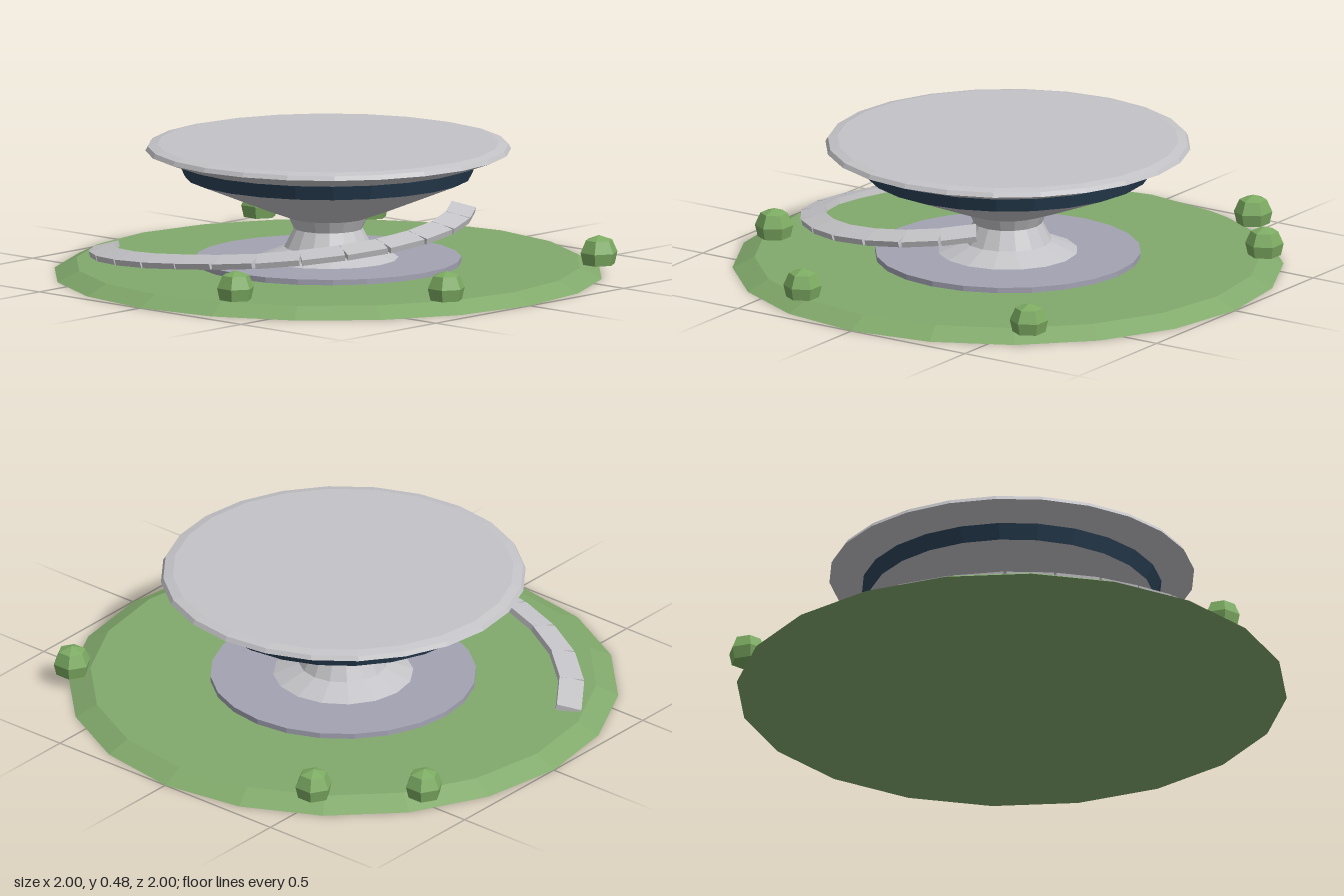
import * as THREE from 'three';

const mat = (name, color) => {
  const m = new THREE.MeshStandardMaterial({ color, flatShading: true });
  m.name = name;
  return m;
};

export function createModel() {
  const model = new THREE.Group();
  model.name = 'pavilion';
  const grass = mat('grass green', 0x82aa6c);
  const leaf = mat('leaf green', 0x7cab62);
  const paving = mat('paving grey', 0xa2a2b2);
  const concrete = mat('pale concrete', 0xc4c4c8);
  const glass = mat('dark blue glass', 0x2c445a);

  // Adds a faceted solid of revolution; points are [radius, y] from bottom to top
  const turn = (name, points, sides, material, parent = model) => {
    const profile = points.map(([r, y]) => new THREE.Vector2(r, y));
    const mesh = new THREE.Mesh(new THREE.LatheGeometry(profile, sides), material);
    mesh.name = name;
    parent.add(mesh);
    return mesh;
  };

  // Ground and paving
  turn('ground', [[0, 0], [1, 0], [0.92, 0.04], [0, 0.04]], 20, grass);
  turn('plaza', [[0, 0.03], [0.483, 0.03], [0.483, 0.06], [0, 0.06]], 24, paving);

  // Building, stacked from foot to roof
  turn('pedestal', [[0.255, 0.06], [0.16, 0.1], [0.125, 0.168], [0.145, 0.212]], 16, concrete);
  turn('bowl', [[0, 0.21], [0.145, 0.21], [0.25, 0.25], [0.52, 0.36], [0, 0.36]], 24, concrete);
  turn('windowBand', [[0.52, 0.36], [0.545, 0.415]], 24, glass);
  turn('roof', [[0, 0.415], [0.55, 0.415], [0.664, 0.456], [0.655, 0.472], [0.62, 0.48], [0, 0.48]], 24, concrete);

  // Rising spiral ramp: straight slabs, banked outwards; [angle in degrees, radius]
  const ramp = new THREE.Group();
  ramp.name = 'ramp';
  model.add(ramp);
  const track = [[158, 0.86], [145, 0.83], [119, 0.77], [95, 0.725], [65, 0.72], [29, 0.665], [7, 0.615], [-22, 0.525]];
  const radiusAt = (deg) => {
    const i = Math.min(track.length - 2, track.findLastIndex(([a]) => a >= deg));
    const [a0, r0] = track[i], [a1, r1] = track[i + 1];
    return THREE.MathUtils.lerp(r0, r1, (deg - a0) / (a1 - a0));
  };
  const slabs = 14;
  const rampPoint = (t) => {
    const deg = 158 - 180 * t, a = THREE.MathUtils.degToRad(deg), r = radiusAt(deg);
    return new THREE.Vector3(r * Math.cos(a), 0.046 + 0.232 * t, r * Math.sin(a));
  };
  for (let i = 0; i < slabs; i++) {
    const start = rampPoint(i / slabs), end = rampPoint((i + 1) / slabs);
    const along = end.clone().sub(start);
    const length = along.length();
    along.normalize();
    const out = new THREE.Vector3(-along.z, 0, along.x).normalize();
    const middle = start.clone().add(end).multiplyScalar(0.5);
    if (out.dot(middle) < 0) out.negate();
    out.y = -0.25;
    out.addScaledVector(along, -out.dot(along)).normalize();
    const up = new THREE.Vector3().crossVectors(along, out);
    if (up.y < 0) { up.negate(); out.negate(); }
    const slab = new THREE.Mesh(new THREE.BoxGeometry(length, 0.022, 0.092), concrete);
    slab.name = 'rampSlab';
    const side = new THREE.Vector3().crossVectors(along, up);
    slab.quaternion.setFromRotationMatrix(new THREE.Matrix4().makeBasis(along, up, side));
    slab.position.copy(middle);
    ramp.add(slab);
  }

  // Round bushes near the rim
  const bushes = new THREE.Group();
  bushes.name = 'bushes';
  model.add(bushes);
  const bushProfile = [[0, 0.046], [0.06, 0.046], [0.07, 0.09], [0.05, 0.135], [0, 0.153]];
  for (const [x, z] of [[-0.82, -0.515], [-0.515, -0.775], [0.765, -0.62], [0.87, 0.305], [0.305, 0.82]]) {
    const bush = turn('bush', bushProfile, 6, leaf, bushes);
    bush.position.set(x, 0, z);
    bush.rotation.y = Math.PI / 6;
  }
  return model;
}
